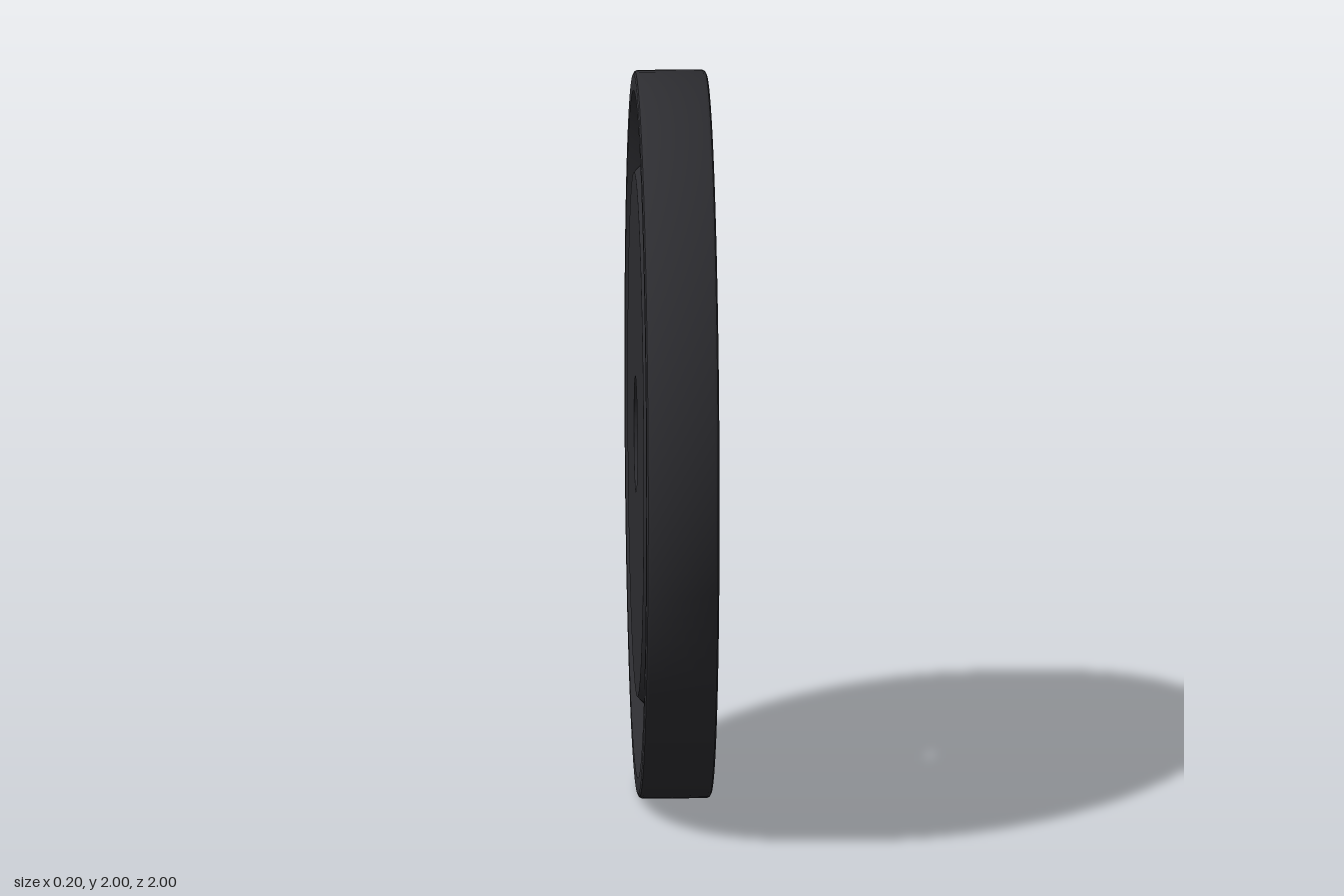
import * as THREE from 'three';
import { toCreasedNormals } from 'three/addons/utils/BufferGeometryUtils.js';

const SEGMENTS = 128;

export function createModel() {
  const rubber = new THREE.MeshStandardMaterial({ color: 0x2d2d31 });
  rubber.name = 'black rubber';

  const half = 0.1;    // half thickness
  const recess = 0.035; // depth of the ring groove on each face
  const bore = 0.16;

  // One face, from outer edge to bore: [radius, height]
  const face = [
    [1, half - 0.012],
    [0.996, half - 0.004],
    [0.988, half],            // rounded outer edge
    [0.944, half],            // raised rim
    [0.906, half - recess],   // slope into the groove
    [0.757, half - recess],   // groove floor
    [0.72, half],             // slope up to the centre disc
    [bore, half],             // centre disc
  ];

  // Closed section: upper face, bore wall, mirrored lower face, tread
  const mirrored = face.map(([r, h]) => [r, -h]).reverse();
  const section = [...face, ...mirrored, face[0]].map(([r, h]) => new THREE.Vector2(r, h));

  const geometry = toCreasedNormals(new THREE.LatheGeometry(section, SEGMENTS), 0.5);
  geometry.rotateZ(-Math.PI / 2); // axle along x

  const plate = new THREE.Mesh(geometry, rubber);
  plate.name = 'weightPlate';
  plate.position.y = 1;

  const model = new THREE.Group();
  model.name = 'bumperPlate';
  model.add(plate);
  return model;
}
